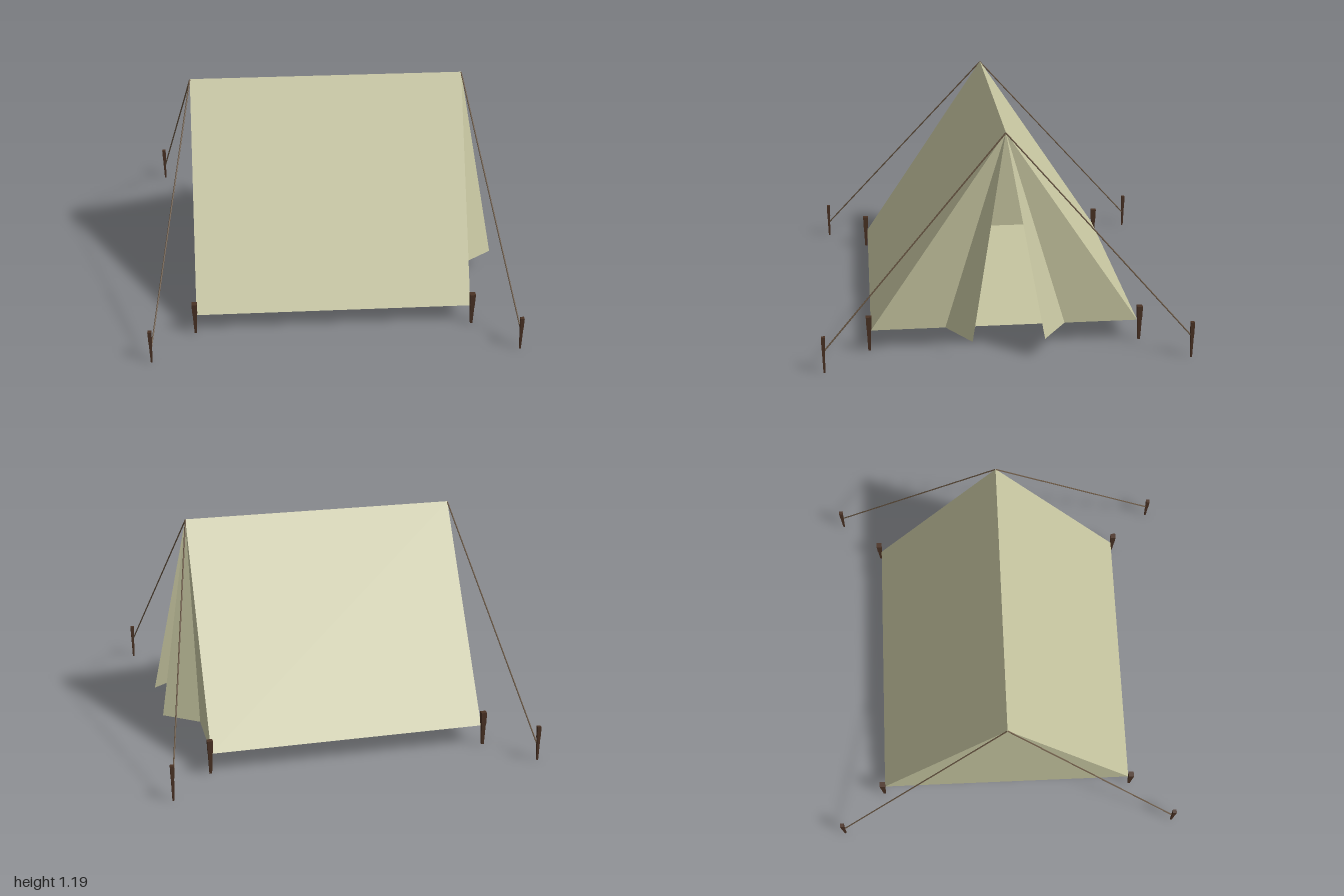
import * as THREE from 'three';

const RIDGE = 1.19, BASE = 0.115, HALF_X = 0.75, HALF_Z = 0.715;

const canvas = new THREE.MeshStandardMaterial({ color: 0xc6c5a0, side: THREE.DoubleSide, flatShading: true });
const wood = new THREE.MeshStandardMaterial({ color: 0x4a3224, flatShading: true });
const cord = new THREE.MeshStandardMaterial({ color: 0x6b5844 });

// Flat sheet through three or four corners, counter-clockwise from outside
function sheet(name, ...corners) {
  const geometry = new THREE.BufferGeometry();
  geometry.setAttribute('position', new THREE.Float32BufferAttribute(corners.flat(), 3));
  geometry.setIndex(corners.length === 4 ? [0, 1, 2, 0, 2, 3] : [0, 1, 2]);
  geometry.computeVertexNormals();
  const mesh = new THREE.Mesh(geometry, canvas);
  mesh.name = name;
  return mesh;
}

// Square wooden peg: tapered shaft with a wider head
function peg(name, x, z, width, bottom) {
  const group = new THREE.Group();
  group.name = name;
  const r = width / Math.SQRT2;
  const parts = [
    ['pegShaft', r * 0.8, r * 0.45, bottom, 0.14],
    ['pegHead', r, r * 0.85, 0.13, 0.2],
  ];
  for (const [part, top, low, y0, y1] of parts) {
    const geometry = new THREE.CylinderGeometry(top, low, y1 - y0, 4);
    geometry.rotateY(Math.PI / 4);
    geometry.translate(0, (y0 + y1) / 2, 0);
    const mesh = new THREE.Mesh(geometry, wood);
    mesh.name = part;
    group.add(mesh);
  }
  group.position.set(x, 0, z);
  return group;
}

// Straight thin cord between two points
function rope(name, from, to) {
  const path = new THREE.LineCurve3(new THREE.Vector3(...from), new THREE.Vector3(...to));
  const mesh = new THREE.Mesh(new THREE.TubeGeometry(path, 1, 0.004, 6), cord);
  mesh.name = name;
  return mesh;
}

export function createModel() {
  const tent = new THREE.Group();
  tent.name = 'tent';
  const X = HALF_X, Z = HALF_Z;
  const leftApex = [X, RIDGE, 0], rightApex = [-X, RIDGE, 0];

  // Roof slopes, floor and closed end
  tent.add(
    sheet('frontSlope', [-X, BASE, Z], [X, BASE, Z], leftApex, rightApex),
    sheet('backSlope', [X, BASE, -Z], [-X, BASE, -Z], rightApex, leftApex),
    sheet('floor', [-X, BASE, -Z], [X, BASE, -Z], [X, BASE, Z], [-X, BASE, Z]),
    sheet('closedEnd', [-X, BASE, -Z], [-X, BASE, Z], rightApex),
  );

  // Entrance: narrow wall and folded-out door flap on each side
  for (const s of [1, -1]) {
    const hinge = [X, BASE, s * 0.32], corner = [X, BASE, s * Z], tip = [0.94, BASE, s * 0.19];
    const side = s > 0 ? 'front' : 'back';
    tent.add(
      s > 0 ? sheet(side + 'EntranceWall', corner, hinge, leftApex) : sheet(side + 'EntranceWall', hinge, corner, leftApex),
      s > 0 ? sheet(side + 'DoorFlap', hinge, tip, leftApex) : sheet(side + 'DoorFlap', tip, hinge, leftApex),
    );
  }

  // Corner pegs, outer pegs and guy ropes
  for (const sx of [1, -1]) {
    for (const sz of [1, -1]) {
      tent.add(
        peg('cornerPeg', sx * 0.758, sz * 0.725, 0.03, 0.007),
        peg('guyPeg', sx * 0.988, sz * 0.96, 0.021, 0),
        rope('guyRope', [sx * X, RIDGE - 0.003, 0], [sx * 0.985, sx > 0 ? 0.12 : 0.09, sz * 0.957]),
      );
    }
  }
  return tent;
}
